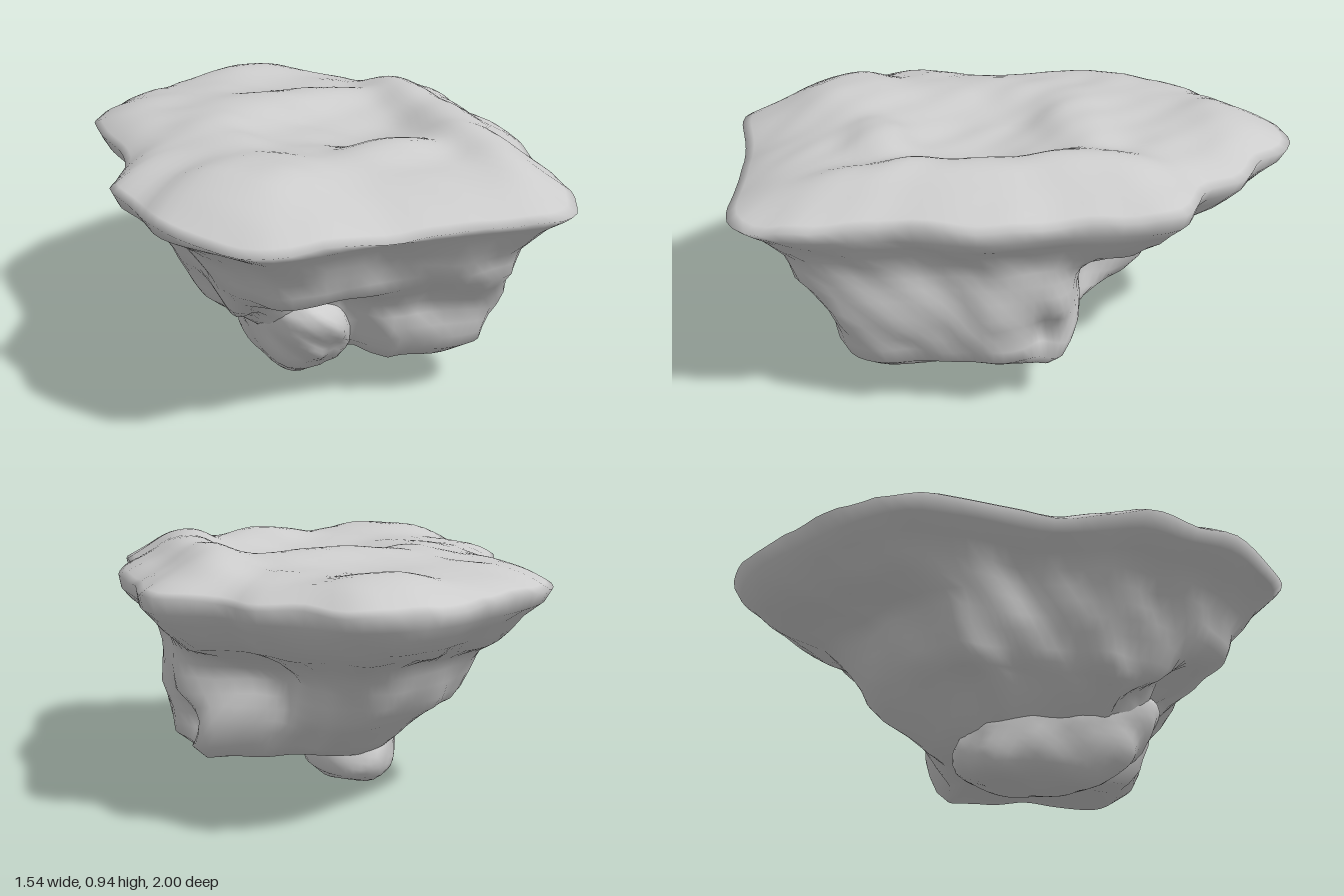
import * as THREE from 'three';
import { mergeVertices } from 'three/addons/utils/BufferGeometryUtils.js';

const rock = new THREE.MeshStandardMaterial({ color: 0xcccccc });
const SEG = 112;

// Plan of the rim (x, z), running front -> right -> back -> left
const RIM = [
  [0.52, 0.99], [0.2, 0.97], [-0.1, 0.96], [-0.45, 0.97], [-0.6, 0.83], [-0.71, 0.66], [-0.73, 0.5],
  [-0.77, 0.32], [-0.7, 0.15], [-0.65, 0], [-0.67, -0.35], [-0.65, -0.52], [-0.5, -0.7], [-0.3, -0.84],
  [-0.13, -0.95], [0.02, -1], [0.2, -0.99], [0.33, -0.84], [0.47, -0.74], [0.53, -0.6], [0.74, -0.46],
  [0.75, -0.1], [0.77, 0.2], [0.7, 0.45], [0.67, 0.78], [0.6, 0.94],
];

// Underside sections: y, xMin, xMax, zMin, zMax
const SECTIONS = [
  [0.75, 0.74, 0.76, 0.97, 0.97], [0.71, 0.66, 0.72, 0.93, 0.92], [0.66, 0.61, 0.67, 0.88, 0.88],
  [0.61, 0.58, 0.64, 0.79, 0.84], [0.56, 0.55, 0.63, 0.64, 0.82], [0.51, 0.53, 0.63, 0.59, 0.79],
  [0.46, 0.5, 0.63, 0.55, 0.75], [0.4, 0.47, 0.63, 0.5, 0.71], [0.35, 0.45, 0.62, 0.45, 0.69],
  [0.3, 0.42, 0.61, 0.4, 0.67], [0.25, 0.4, 0.59, 0.33, 0.65], [0.2, 0.37, 0.57, 0.26, 0.63],
  [0.15, 0.3, 0.5, 0.18, 0.57], [0.14, 0.2, 0.36, 0.1, 0.42], [0.14, 0.1, 0.18, 0.05, 0.2], [0.14, 0, 0, 0, 0],
];

// Mounds and hollows on the top: x, z, radiusX, radiusZ, height
const TOP_FEATURES = [
  [-0.4, 0.6, 0.25, 0.2, 0.055], [0.5, 0.2, 0.12, 0.65, 0.06], [0.15, 0.48, 0.17, 0.11, 0.045],
  [0.13, 0.13, 0.3, 0.22, -0.05], [0.1, -0.22, 0.35, 0.12, 0.03], [0.08, -0.52, 0.3, 0.16, -0.015],
  [0.08, -0.82, 0.3, 0.14, 0.03], [-0.32, 0.05, 0.14, 0.3, 0.015],
];

// Hollows (+) and bulges (-) on the flanks: x, y, z, radius, depth
const FLANK_FEATURES = [
  [0.58, 0.29, -0.05, 0.07, 0.1], [0.36, 0.45, -0.28, 0.17, 0.1], [0.08, 0.35, -0.42, 0.12, -0.03],
  [-0.25, 0.35, -0.35, 0.15, -0.04],
  [0.22, 0.39, 0.7, 0.07, 0.05], [0.08, 0.39, 0.7, 0.08, 0.05], [0.4, 0.38, 0.65, 0.07, 0.04],
  [0.3, 0.25, 0.65, 0.13, -0.02], [-0.1, 0.52, 0.8, 0.12, -0.02], [0.62, 0.45, 0.3, 0.14, 0.02],
];

const smooth = THREE.MathUtils.smoothstep;
const noise = (x, y, z) =>
  0.5 * Math.sin(9 * x + 4 * y + 1.3 * Math.sin(7 * z)) * Math.sin(8 * z - 6 * y + 0.7) +
  0.3 * Math.sin(17 * x - 9 * z + 2) * Math.sin(15 * z + 19 * y) +
  0.2 * Math.sin(29 * y + 23 * x + 1) * Math.sin(27 * z - 13 * x);

function topHeight(x, z) {
  let y = 0.89 - 0.02 * smooth(z, 0.6, 1) + 0.012 * noise(x, 0, z);
  for (const [cx, cz, rx, rz, h] of TOP_FEATURES) {
    y += h * Math.exp(-((((x - cx) / rx) ** 2 + ((z - cz) / rz) ** 2) ** 1.5));
  }
  return y;
}

function flankPoint([ox, oz], [y0, xMin, xMax, zMin, zMax]) {
  let x = ox * (ox < 0 ? xMin : xMax) / 0.77;
  let z = oz * (oz < 0 ? zMin : zMax);
  // the +x side narrows to a keel at the back
  if (ox > 0) x *= 1 - 0.42 * smooth(-z, 0.05, 0.32) * (1 - smooth(y0, 0.45, 0.66));
  // the underside ends higher on the -x side
  let y = y0 + 0.11 * (1 - smooth(x, -0.35, -0.1)) * (1 - smooth(y0, 0.15, 0.4));
  // recess in the front above the hanging lump, with a slanting edge
  const edge = 0.3 * Math.max(0, 0.4 - y);
  z -= 0.16 * smooth(z, 0.25, 0.55) * smooth(x, -0.42, -0.3) * (1 - smooth(x, edge - 0.02, edge + 0.06)) *
    (1 - smooth(y, 0.4, 0.5));
  const len = Math.hypot(x, z) || 1;
  let push = 0.03 * noise(x, y, z) * smooth(len, 0.1, 0.4) * (1 - smooth(y, 0.66, 0.78));
  for (const [cx, cy, cz, r, d] of FLANK_FEATURES) {
    push -= d * Math.exp(-((x - cx) ** 2 + (y - cy) ** 2 + (z - cz) ** 2) / (r * r));
  }
  y += 0.015 * noise(z, x, y) * (1 - smooth(y, 0.6, 0.75));
  return [x + x / len * push, y, z + z / len * push];
}

// Joins rings of points into one closed smooth skin; the first and last rings are single points
function skin(rings) {
  const index = [];
  for (let k = 0; k < rings.length - 1; k++) {
    for (let i = 0; i < SEG; i++) {
      const a = k * SEG + i, b = k * SEG + (i + 1) % SEG;
      if (k > 0) index.push(a, b, a + SEG);
      if (k < rings.length - 2) index.push(b, b + SEG, a + SEG);
    }
  }
  const g = new THREE.BufferGeometry();
  g.setAttribute('position', new THREE.Float32BufferAttribute(rings.flat(2), 3));
  g.setIndex(index);
  const merged = mergeVertices(g, 1e-5);
  merged.computeVertexNormals();
  return merged;
}

// Broad flat top, thin rim and tapering flanks
function makeIsland() {
  const curve = new THREE.CatmullRomCurve3(RIM.map(([x, z]) => new THREE.Vector3(x, 0, z)), true, 'centripetal');
  const plan = curve.getSpacedPoints(SEG).slice(0, SEG).map((p) => [p.x, p.z]);
  const rings = [];
  const STEPS = 30;
  for (let k = 0; k <= STEPS; k++) {
    const f = k / STEPS;
    rings.push(plan.map(([ox, oz]) => {
      const x = ox * f, z = oz * f;
      const rimY = 0.8 - 0.025 * smooth(oz, 0.6, 1) + 0.02 * noise(ox, 1, oz);
      return [x, THREE.MathUtils.lerp(topHeight(x, z), rimY, f ** 6), z];
    }));
  }
  for (const s of SECTIONS) rings.push(plan.map((p) => flankPoint(p, s)));
  return skin(rings);
}

// Blunt boulder hanging beneath the island and leaning out to the front
function makeLump() {
  const g = new THREE.SphereGeometry(1, 40, 28);
  g.deleteAttribute('uv');
  g.deleteAttribute('normal');
  const lump = mergeVertices(g, 1e-4);
  const p = lump.attributes.position;
  for (let i = 0; i < p.count; i++) {
    const x = p.getX(i), y = p.getY(i), z = p.getZ(i);
    const boxy = (x ** 4 + y ** 4 + z ** 4) ** -0.12;
    const r = boxy * (1 + 0.08 * noise(x * 0.4, y * 0.4, z * 0.4));
    p.setXYZ(i, -0.1 + 0.175 * x * r - 0.04 * y, 0.2 + 0.205 * y * r, 0.19 + 0.33 * z * r + 0.15 * y);
  }
  lump.computeBoundingBox();
  lump.translate(0, -lump.boundingBox.min.y, 0);
  lump.computeVertexNormals();
  return lump;
}

export function createModel() {
  const group = new THREE.Group();
  group.name = 'floatingRock';
  const parts = { island: makeIsland(), hangingLump: makeLump() };
  for (const [name, geometry] of Object.entries(parts)) {
    const mesh = new THREE.Mesh(geometry, rock);
    mesh.name = name;
    group.add(mesh);
  }
  return group;
}
